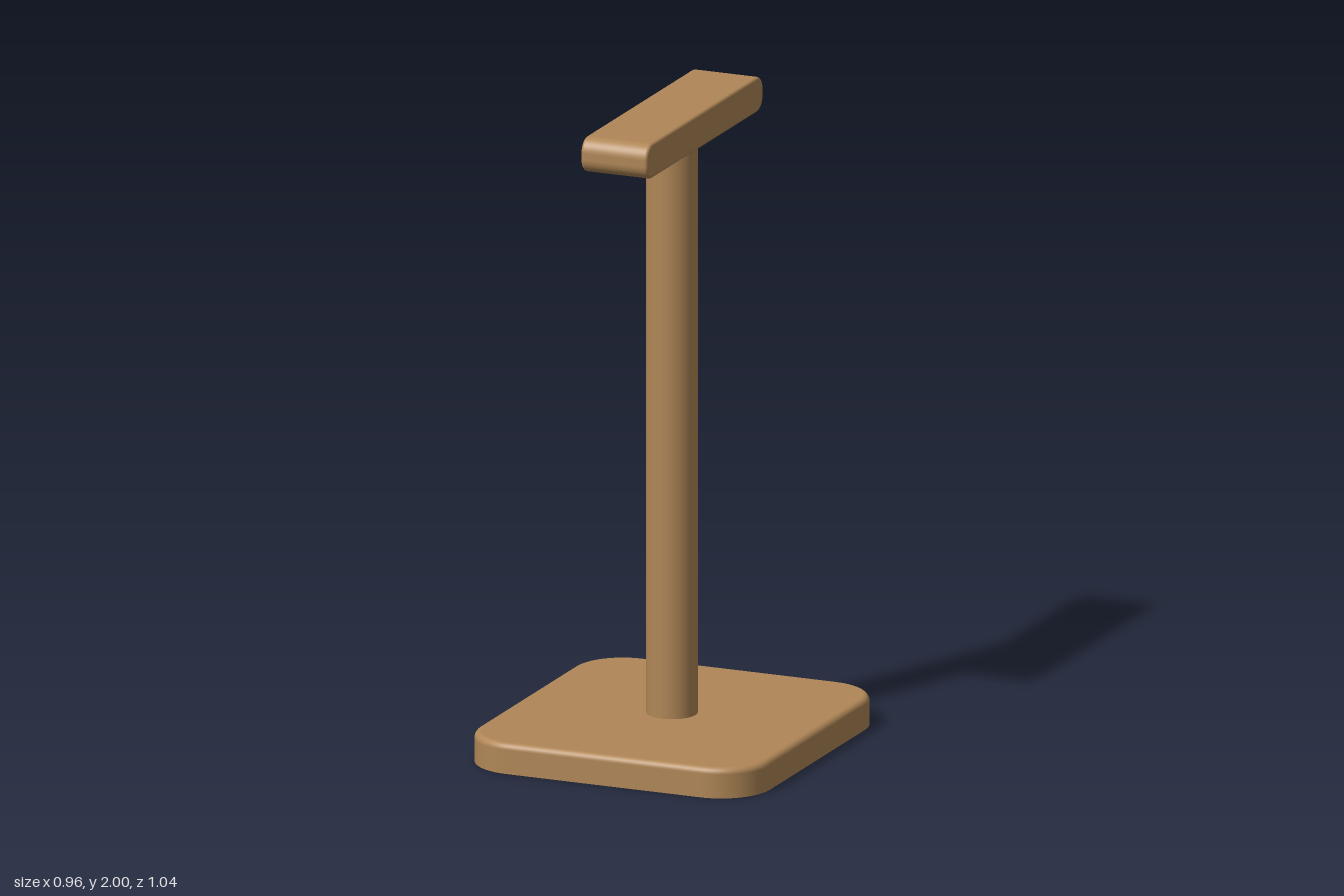
import * as THREE from 'three';

// Rounded-rectangle slab built up the y axis from cross-sections.
// hx, hz: half sizes, r: corner radius, topFillet / bottomFillet: edge rounding (0 = sharp)
function roundedSlab(hx, hz, height, r, topFillet, bottomFillet) {
  const cornerSteps = 14, filletSteps = 6, half = Math.PI / 2;

  // layers: inset from outline, height, normal elevation, scale (0 closes the cap)
  const layers = [[bottomFillet, 0, -half, 0], [bottomFillet, 0, -half, 1]];
  const addFillet = (f, yCentre, from, to) => {
    const steps = f > 0 ? filletSteps : 0;
    for (let i = 0; i <= steps; i++) {
      const a = steps ? from + (to - from) * i / steps : 0;
      layers.push([f * (1 - Math.cos(a)), yCentre + f * Math.sin(a), a, 1]);
    }
  };
  addFillet(bottomFillet, bottomFillet, -half, 0);
  addFillet(topFillet, height - topFillet, 0, half);
  layers.push([topFillet, height, half, 1], [topFillet, height, half, 0]);

  const positions = [], normals = [], index = [];
  const corners = [[1, 1], [-1, 1], [-1, -1], [1, -1]];
  for (const [inset, y, tilt, scale] of layers) {
    corners.forEach(([sx, sz], q) => {
      for (let i = 0; i <= cornerSteps; i++) {
        const a = (q + i / cornerSteps) * half;
        const c = Math.cos(a), s = Math.sin(a);
        positions.push(
          scale * (sx * (hx - r) + c * (r - inset)), y,
          -scale * (sz * (hz - r) + s * (r - inset)));
        normals.push(c * Math.cos(tilt), Math.sin(tilt), -s * Math.cos(tilt));
      }
    });
  }
  const n = 4 * (cornerSteps + 1);
  for (let l = 0; l < layers.length - 1; l++) {
    for (let i = 0; i < n; i++) {
      const a = l * n + i, b = l * n + (i + 1) % n;
      index.push(a, b, a + n, b, b + n, a + n);
    }
  }
  const g = new THREE.BufferGeometry();
  g.setAttribute('position', new THREE.Float32BufferAttribute(positions, 3));
  g.setAttribute('normal', new THREE.Float32BufferAttribute(normals, 3));
  g.setIndex(index);
  return g;
}

export function createModel() {
  const wood = new THREE.MeshStandardMaterial({ color: 0xb08757 });
  wood.name = 'wood';
  const group = new THREE.Group();
  group.name = 'stand';
  const add = (name, geometry) => {
    const mesh = new THREE.Mesh(geometry, wood);
    mesh.name = name;
    group.add(mesh);
    return mesh;
  };

  // Base plate: softened top edge, sharp flat underside
  add('base', roundedSlab(0.48, 0.52, 0.095, 0.16, 0.02, 0));

  // Round post
  const post = add('post', new THREE.CylinderGeometry(0.078, 0.078, 1.82, 48));
  post.position.y = 0.09 + 0.91;

  // Top bar: rounded ends, lightly eased sides; slab turned so its thickness runs along x
  const bar = roundedSlab(0.055, 0.44, 0.22, 0.045, 0.01, 0.01);
  bar.translate(0, -0.11, 0).rotateZ(-Math.PI / 2);
  add('topBar', bar).position.y = 1.945;

  return group;
}
